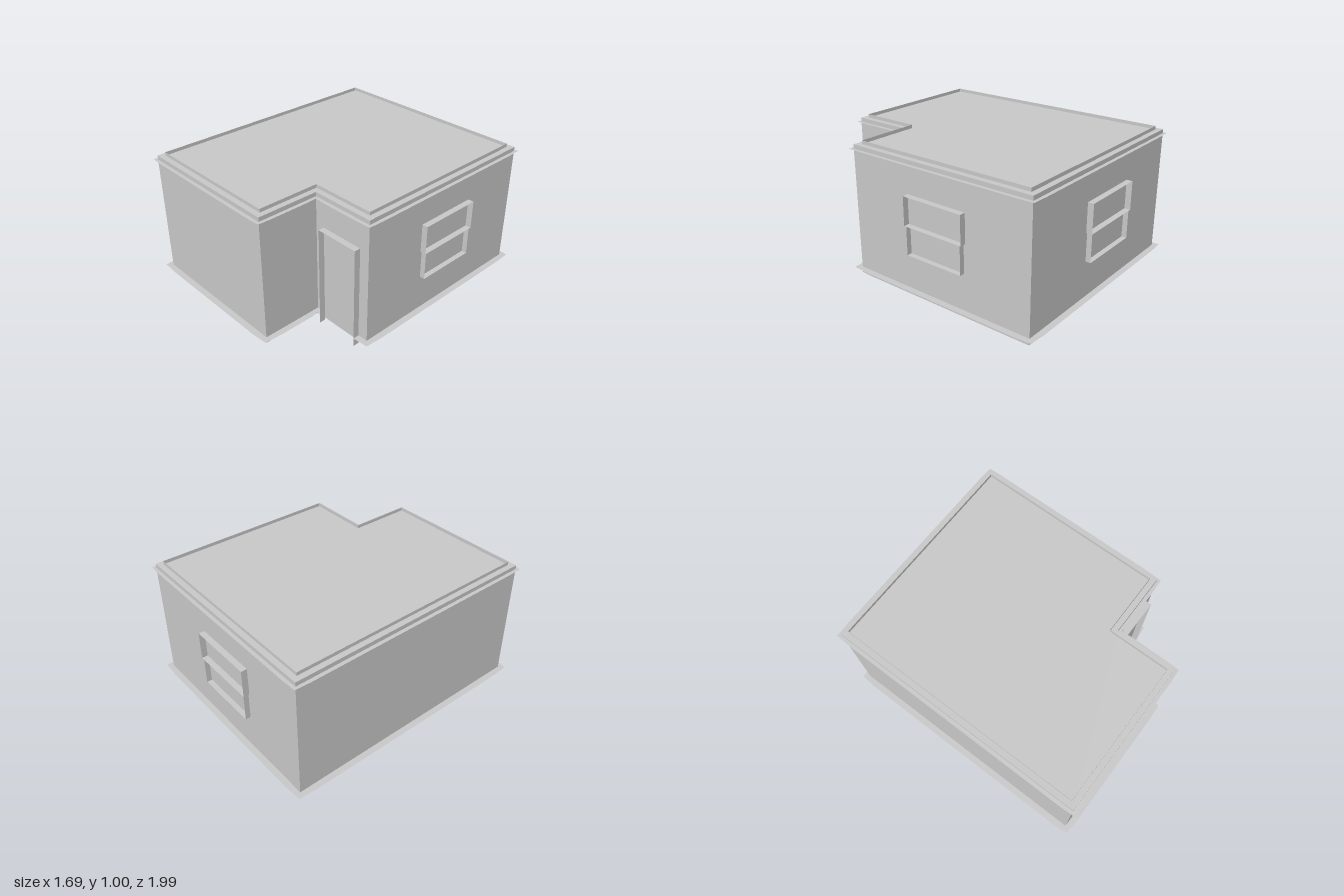
import * as THREE from 'three';

const grey = new THREE.MeshStandardMaterial({ color: 0xc8c8c8, side: THREE.DoubleSide });
grey.name = 'plain grey';

// Footprint corners: x, z and the outward direction of each corner
const CORNERS = [
  [0.8, 0.5, 1, 1], [0.8, -0.95, 1, -1], [-0.8, -0.95, -1, -1],
  [-0.8, 0.95, -1, 1], [0.33, 0.95, 1, 1], [0.33, 0.5, 1, 1],
];
const DOOR = { left: 0.4, right: 0.725, top: 0.745 };
// The same run of corners, broken at the doorway
const OPEN = [[DOOR.right, 0.5, 0, 1], ...CORNERS, [DOOR.left, 0.5, 0, 1]];
const CLOSED = [...CORNERS, CORNERS[0]];

function mesh(name, geometry) {
  const m = new THREE.Mesh(geometry, grey);
  m.name = name;
  return m;
}

// Thin flat-shaded sheet spanning two polylines of equal length
function ribbon(name, a, b) {
  const pos = [];
  for (let i = 0; i < a.length - 1; i++) {
    pos.push(...a[i], ...b[i], ...b[i + 1], ...a[i], ...b[i + 1], ...a[i + 1]);
  }
  const g = new THREE.BufferGeometry();
  g.setAttribute('position', new THREE.Float32BufferAttribute(pos, 3));
  g.computeVertexNormals();
  return mesh(name, g);
}

const offsetRun = (run, d, y) => run.map(([x, z, sx, sz]) => [x + sx * d, y, z + sz * d]);

// Upright band following the footprint
function band(name, run, d, y0, y1) {
  return ribbon(name, offsetRun(run, d, y0), offsetRun(run, d, y1));
}

// Horizontal ledge with slightly eased corners
function ledge(name, run, d, y) {
  const pts = [];
  run.forEach((p, i) => {
    const [x, z, sx, sz] = p;
    const k = sx && sz ? 0.82 : 1;
    pts.push([x, z, sx * k, sz * k]);
    const q = run[i + 1];
    if (!q) return;
    const dx = q[0] - x, dz = q[1] - z, len = Math.hypot(dx, dz);
    if (len < 0.2) return;
    const n = dx === 0 ? [sx, 0] : [0, sz];
    for (const t of [0.09 / len, 1 - 0.09 / len]) pts.push([x + dx * t, z + dz * t, ...n]);
  });
  return ribbon(name, offsetRun(pts, 0, y), offsetRun(pts, d, y));
}

// Projecting frame sheet: a path of [u, y] points pushed out along local z
function frame(name, path, depth) {
  return ribbon(name, path.map(([u, y]) => [u, y, 0]), path.map(([u, y]) => [u, y, depth]));
}

// Window with a slightly larger upper sash, facing local +z
function windowFrame(name, halfWidth) {
  const g = new THREE.Group();
  g.name = name;
  const w = halfWidth, v = halfWidth - 0.012;
  g.add(frame('upperSash', [[-w, 0.535], [-w, 0.742], [w, 0.742], [w, 0.535], [-w, 0.535]], 0.043));
  g.add(frame('lowerSash', [[-v, 0.535], [-v, 0.328], [v, 0.328], [v, 0.535]], 0.037));
  return g;
}

export function createModel() {
  const house = new THREE.Group();
  house.name = 'house';

  // Walls, floor and flat roof
  const plan = new THREE.Shape(CORNERS.map(([x, z]) => new THREE.Vector2(x, -z)));
  const body = new THREE.ExtrudeGeometry(plan, { depth: 0.955, bevelEnabled: false });
  body.rotateX(-Math.PI / 2).translate(0, 0.02, 0);
  house.add(mesh('walls', body));

  // Trim around the building
  house.add(band('roofRim', CLOSED, -0.04, 0.975, 1));
  house.add(ledge('upperLedge', CLOSED, 0.026, 0.945));
  house.add(ledge('lowerLedge', OPEN, 0.046, 0.065));
  house.add(band('footing', OPEN, -0.02, 0, 0.02));

  // Door surround
  const door = frame('doorFrame', [
    [DOOR.left, 0], [DOOR.left, DOOR.top], [DOOR.right, DOOR.top], [DOOR.right, 0],
  ], 0.045);
  door.position.z = 0.5;
  house.add(door);

  // Windows
  const side = windowFrame('sideWindow', 0.237);
  side.position.set(0.8, 0, -0.223);
  side.rotation.y = Math.PI / 2;
  const back = windowFrame('backWindow', 0.25);
  back.position.set(-0.045, 0, -0.95);
  back.rotation.y = Math.PI;
  house.add(side, back);

  return house;
}
